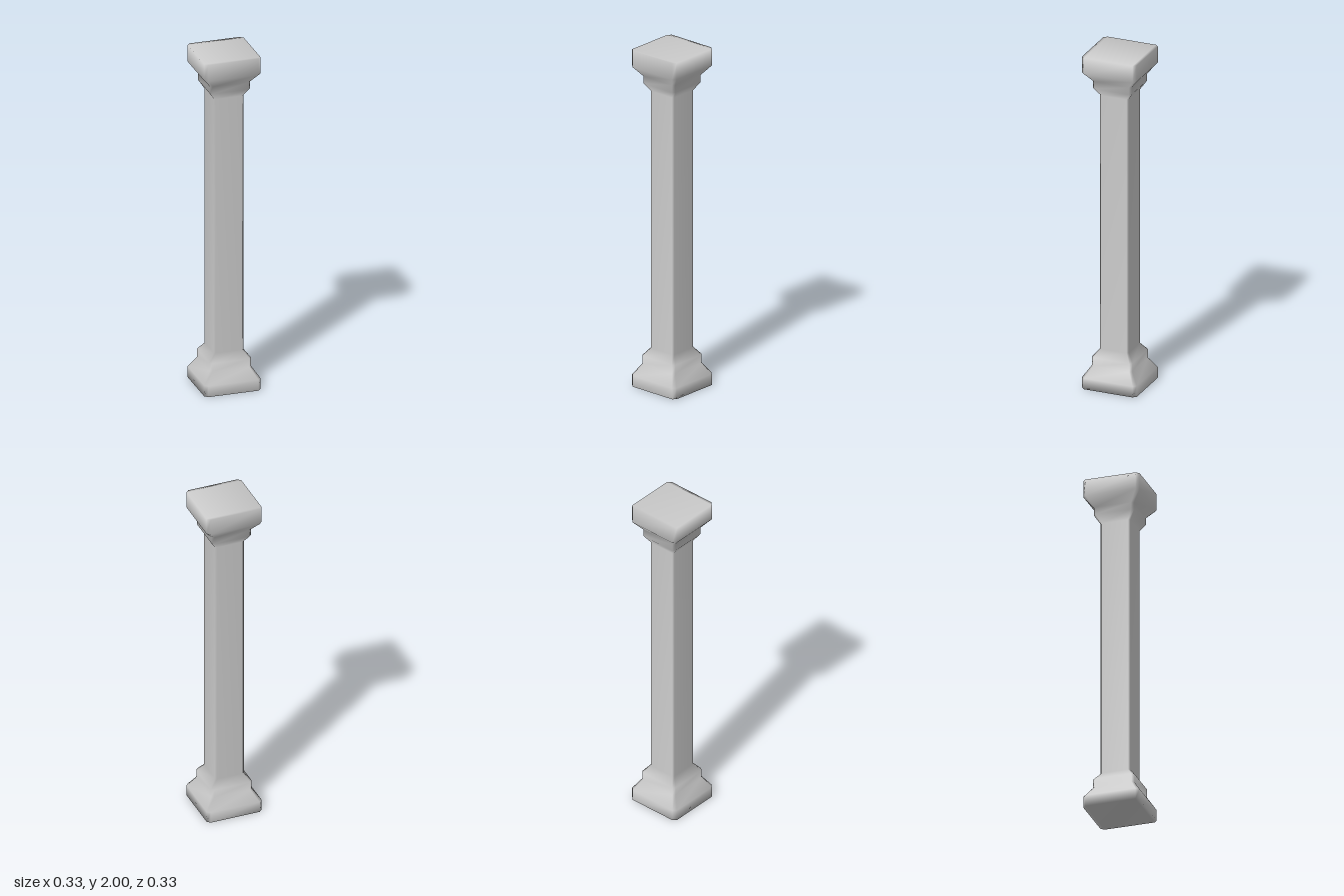
import * as THREE from 'three';

// Octagonal cross-section: a square with chamfered corners
function section(w, y) {
  const i = w * 0.89;
  return [[w, -i], [w, i], [i, w], [-i, w], [-w, i], [-w, -i], [-i, -w], [i, -w]]
    .flatMap(([x, z]) => [x, y, z]);
}

// Joins the cross-sections of a [halfWidth, height] profile into a closed, smooth solid
function loftColumn(profile) {
  const positions = profile.flatMap(([w, y]) => section(w, y));
  const index = [];
  for (let r = 0; r < profile.length - 1; r++) {
    for (let j = 0; j < 8; j++) {
      const a = r * 8 + j, b = r * 8 + (j + 1) % 8;
      index.push(a, a + 8, b, b, a + 8, b + 8);
    }
  }
  // End caps: a wide middle band with a narrow strip on either side
  const top = (profile.length - 1) * 8;
  for (const [a, b, c, d] of [[1, 2, 3, 4], [0, 1, 4, 5], [0, 5, 6, 7]]) {
    index.push(a, b, c, a, c, d);
    index.push(top + a, top + c, top + b, top + a, top + d, top + c);
  }
  const geometry = new THREE.BufferGeometry();
  geometry.setAttribute('position', new THREE.Float32BufferAttribute(positions, 3));
  geometry.setIndex(index);
  geometry.computeVertexNormals();
  return geometry;
}

export function createModel() {
  const group = new THREE.Group();
  group.name = 'squareColumn';

  const profile = [
    // stepped base
    [0.165, 0], [0.165, 0.065], [0.122, 0.13], [0.122, 0.18],
    // shaft
    [0.087, 0.225], [0.087, 1.755],
    // stepped capital
    [0.118, 1.802], [0.118, 1.845], [0.165, 1.902], [0.165, 2],
  ];
  const column = new THREE.Mesh(
    loftColumn(profile),
    new THREE.MeshStandardMaterial({ color: 0xcccccc }),
  );
  column.name = 'column';
  group.add(column);
  return group;
}
